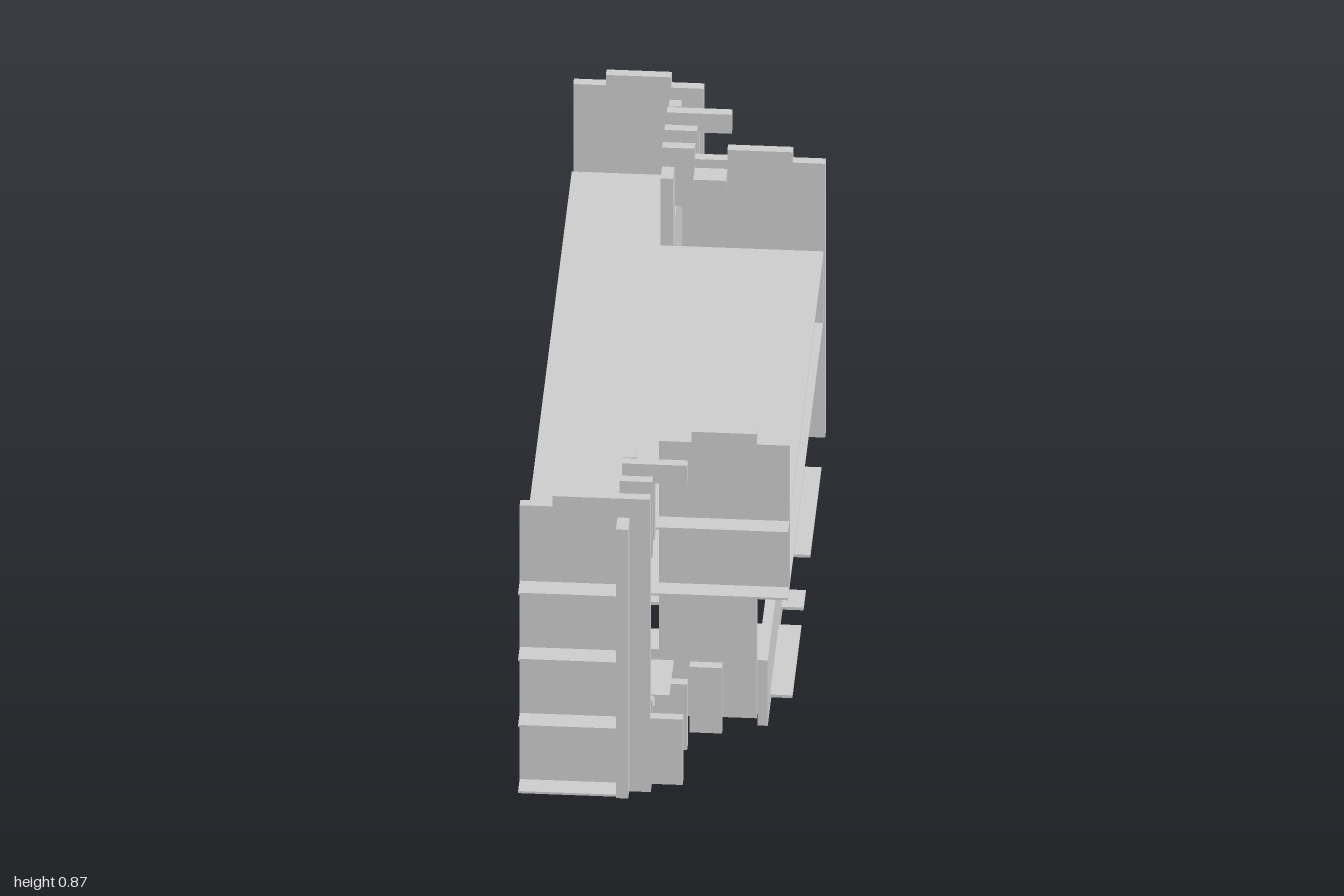
import * as THREE from 'three';

const material = new THREE.MeshStandardMaterial({ color: 0xcccccc, flatShading: true });

export function createModel() {
  const model = new THREE.Group();

  // Box given by its limits on each axis
  function box(name, x0, x1, y0, y1, z0, z1, parent = model) {
    const mesh = new THREE.Mesh(new THREE.BoxGeometry(x1 - x0, y1 - y0, z1 - z0), material);
    mesh.position.set((x0 + x1) / 2, (y0 + y1) / 2, (z0 + z1) / 2);
    mesh.name = name;
    parent.add(mesh);
    return mesh;
  }

  // Upright panel facing z, drawn from an outline in x and y
  function panel(name, points, z0, depth = 0.025) {
    const shape = new THREE.Shape(points.map(([x, y]) => new THREE.Vector2(x, y)));
    const mesh = new THREE.Mesh(new THREE.ExtrudeGeometry(shape, { depth, bevelEnabled: false }), material);
    mesh.position.z = z0;
    mesh.name = name;
    model.add(mesh);
  }

  // Horizontal plate drawn from an outline in x and z
  function plate(name, points, top, thickness = 0.006) {
    const shape = new THREE.Shape(points.map(([x, z]) => new THREE.Vector2(x, -z)));
    const geometry = new THREE.ExtrudeGeometry(shape, { depth: thickness, bevelEnabled: false });
    geometry.rotateX(-Math.PI / 2);
    const mesh = new THREE.Mesh(geometry, material);
    mesh.position.y = top - thickness;
    mesh.name = name;
    model.add(mesh);
  }

  // End walls with stepped tops
  const L = 0.835, H = 0.865;
  panel('frontWallOuter', [[-0.32, 0.04], [0, 0.04], [0, 0.81], [-0.08, 0.81], [-0.08, H],
    [-0.24, H], [-0.24, L], [-0.32, L]], 0.92);
  panel('frontWallInner', [[-0.08, 0.04], [0.24, 0.04], [0.24, 0.415], [0.32, 0.415], [0.32, L],
    [0.24, L], [0.24, H], [0.08, H], [0.08, L], [0, L], [0, 0.23], [-0.08, 0.23]], 0.605);
  panel('backWallInner', [[0, 0.04], [0.32, 0.04], [0.32, L], [0.24, L], [0.24, H],
    [0.08, H], [0.08, L], [0, L]], -0.68);
  panel('backWallOuter', [[-0.32, 0.04], [0.08, 0.04], [0.08, 0.23], [0, 0.23], [0, L],
    [-0.08, L], [-0.08, H], [-0.24, H], [-0.24, L], [-0.32, L]], -1);
  box('backWallFoot', -0.08, 0, 0, 0.04, -1, -0.975);
  box('backWallFootStrip', 0, 0.08, 0.01, 0.04, -1, -0.975);

  // Roof and middle floor
  plate('roofSlab', [[-0.32, -0.92], [-0.08, -0.92], [-0.08, -0.6], [0.32, -0.6], [0.32, 0.68],
    [-0.05, 0.68], [-0.05, 0.6], [-0.08, 0.6], [-0.08, 1], [-0.32, 1]], 0.616);
  plate('middleFloor', [[-0.32, -0.6], [0.32, -0.6], [0.32, 0.68],
    [-0.05, 0.68], [-0.05, 0.6], [-0.08, 0.6], [-0.08, 1], [-0.32, 1]], 0.424);
  plate('lowerBalcony', [[-0.32, 0.36], [-0.16, 0.36], [-0.16, 0.68], [-0.08, 0.68],
    [-0.08, 1], [-0.32, 1]], 0.232);
  plate('lowerLedge', [[-0.05, 0.68], [0.04, 0.68], [0.04, 0.84], [-0.05, 0.84]], 0.232);
  plate('groundLedge', [[-0.32, 0.92], [-0.08, 0.92], [-0.08, 1], [-0.32, 1]], 0.04);
  plate('roofPanel', [[-0.24, 0.43], [-0.08, 0.43], [-0.08, 0.92], [-0.24, 0.92]], 0.619, 0.003);

  // Piers between the middle floor and the roof
  for (const z of [0.285, -0.025, -0.355]) box('pier', -0.28, -0.22, 0.424, 0.61, z, z + 0.025);
  box('backPier', 0.22, 0.32, 0.424, 0.61, -0.6, -0.575);
  box('backPierInner', -0.32, -0.22, 0.232, 0.61, -0.6, -0.575);

  // Shaft towers at both ends
  for (const [name, shift] of [['frontTower', 0], ['backTower', -1.6]]) {
    const tower = new THREE.Group();
    tower.name = name;
    tower.position.z = shift;
    model.add(tower);
    box('shaftWall', -0.075, -0.05, 0.23, 0.645, 0.68, 0.92, tower);
    box('tallFin', -0.08, -0.05, shift ? 0.23 : 0.03, 0.81, 0.92, 1, tower);
    box('shaftEndPost', -0.08, -0.05, 0.645, L, 0.68, 0.71, tower);
    for (const z of [0.84, 0.76]) box('upperFin', -0.08, 0, 0.645, H, z, z + 0.025, tower);
    box('crossBeam', 0, 0.08, 0.81, H, 0.76, 0.785, tower);
    box('topBeam', -0.08, 0, 0.81, H, 0.92, 0.945, tower);
  }
  box('backCrossBeam', 0, 0.08, 0.78, 0.81, -0.66, -0.6);

  // Low fins under the towers
  box('lowFin', 0, 0.08, 0.04, 0.23, 0.92, 0.945);
  box('lowFin', -0.08, 0, 0.04, 0.23, 0.84, 0.865);
  box('lowFin', 0, 0.08, 0.04, 0.23, 0.76, 0.785);
  box('lowFin', 0.08, 0.16, 0.04, 0.23, 0.68, 0.705);
  for (const z of [-0.68, -0.76, -0.84]) box('lowFin', -0.32, z < -0.7 ? 0.08 : 0, 0.04, 0.23, z, z + 0.025);

  // Garden walls along both long sides
  box('gardenWall', 0.24, 0.265, 0, 0.19, -0.52, 0.6);
  for (const [z0, z1] of [[-0.65, -0.37], [-0.32, -0.04], [0, 0.28], [0.33, 0.92]]) {
    box('gardenWall', -0.32, -0.295, 0, 0.19, z0, z1);
  }
  box('entryKerb', -0.08, 0, 0, 0.03, 0.6, 0.92);

  // Ground paving plates: x0, x1, z0, z1
  for (const [x0, x1, z0, z1] of [
    [-0.16, 0.08, -0.3, 0.12], [-0.16, 0.16, 0.24, 0.52], [-0.28, -0.04, -0.66, -0.46],
    [-0.28, -0.14, 0.3, 0.58], [0.2, 0.32, 0.2, 0.52], [0.24, 0.32, 0.04, 0.12], [0.2, 0.32, -0.52, -0.12],
  ]) box('pavingPlate', x0, x1, 0.032, 0.04, z0, z1);

  // Back stair with landing
  box('stairLanding', -0.2, -0.06, 0.21, 0.232, -0.6, -0.44);
  const steps = 9;
  for (let i = 0; i < steps; i++) {
    const x = -0.06 + i * 0.02, y = 0.21 - i * 0.019;
    box('stairStep', x, x + 0.024, y - 0.022, y, -0.6, -0.52);
  }

  // Front stair treads
  for (let i = 0; i < 4; i++) {
    box('frontTread', -0.08 + i * 0.03, -0.02 + i * 0.03, 0.18 - i * 0.045, 0.188 - i * 0.045, 0.63, 0.68);
  }
  return model;
}
